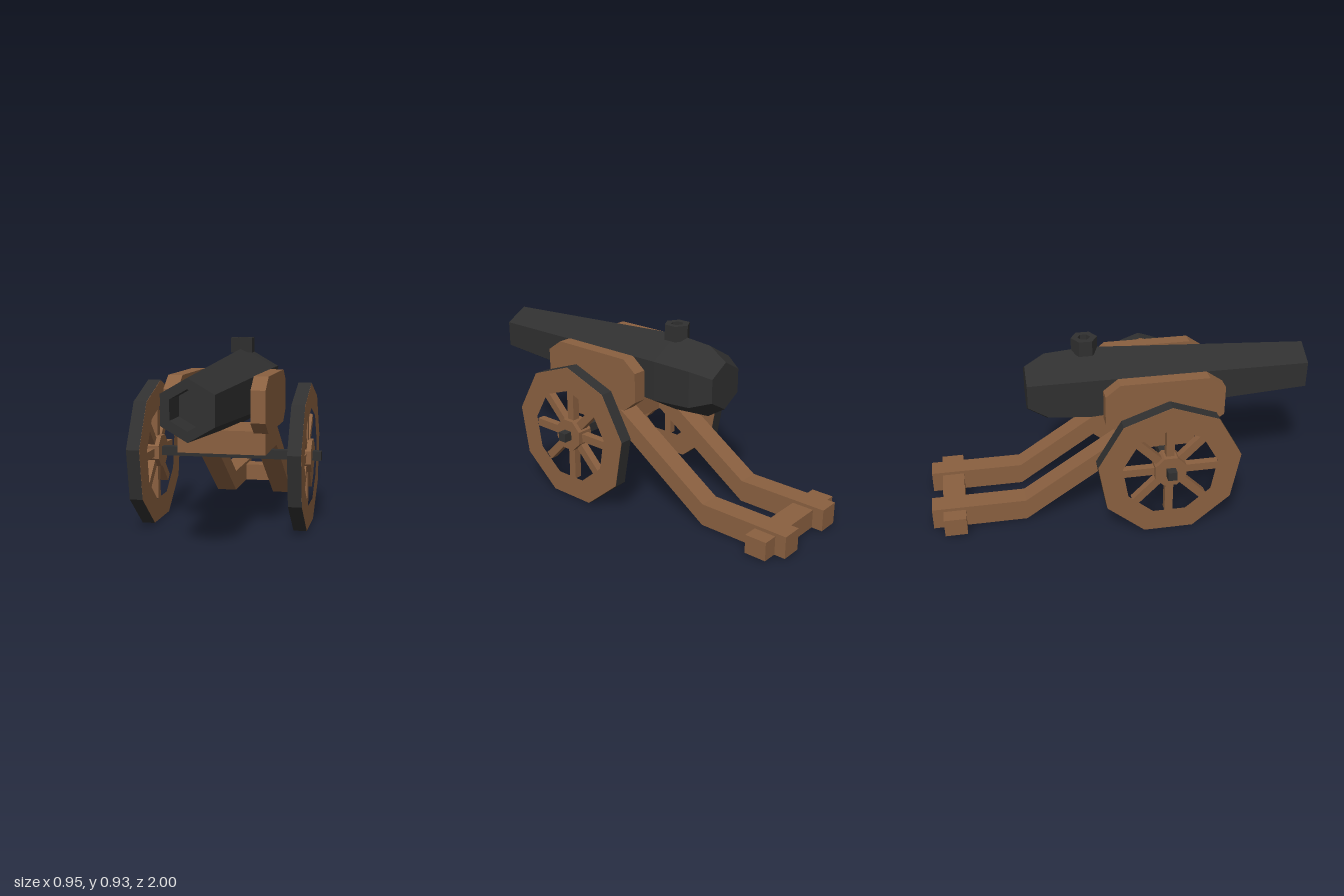
import * as THREE from 'three';

const wood = new THREE.MeshStandardMaterial({ color: 0x8a6040, flatShading: true });
const iron = new THREE.MeshStandardMaterial({ color: 0x303030, flatShading: true });

function add(parent, name, geometry, material, x = 0, y = 0, z = 0) {
  const mesh = new THREE.Mesh(geometry, material);
  mesh.name = name;
  mesh.position.set(x, y, z);
  parent.add(mesh);
  return mesh;
}

const toPoints = (list) => list.map(([a, b]) => new THREE.Vector2(a, b));

// Side profile given as [z, y], extruded along x and centred on x = 0
function sideSlab(outline, width, hole) {
  const shape = new THREE.Shape(toPoints(outline));
  if (hole) shape.holes.push(new THREE.Path(toPoints(hole)));
  return new THREE.ExtrudeGeometry(shape, { depth: width, bevelEnabled: false })
    .rotateY(-Math.PI / 2)
    .translate(width / 2, 0, 0);
}

// Regular polygon with a corner at the top, or turned by an offset
function polygon(sides, radius, offset = 0) {
  return Array.from({ length: sides }, (_, i) => {
    const a = (i / sides) * Math.PI * 2 + offset;
    return [Math.sin(a) * radius, Math.cos(a) * radius];
  });
}

function createWheel() {
  const wheel = new THREE.Group();
  const sides = 9, radius = 0.373, width = 0.066;

  // Wooden rim with an iron tyre around it
  add(wheel, 'rim', sideSlab(polygon(sides, radius - 0.002), width, polygon(sides, 0.247)), wood);
  const tyre = new THREE.CylinderGeometry(radius, radius, width, sides, 1, true, Math.PI / 2)
    .rotateZ(Math.PI / 2);
  add(wheel, 'tyre', tyre, iron);

  // Hub and spokes
  add(wheel, 'hub', sideSlab(polygon(8, 0.086, Math.PI / 8), 0.086), wood, 0, 0.007, 0);
  for (let i = 0; i < 8; i++) {
    const spoke = new THREE.BoxGeometry(0.04, 0.2, 0.042).translate(0, 0.15, 0);
    add(wheel, 'spoke', spoke, wood, 0, 0.005, 0).rotation.x = (i * Math.PI) / 4;
  }
  return wheel;
}

export function createModel() {
  const cannon = new THREE.Group();
  cannon.name = 'cannon';

  // Six-sided barrel with a hollow muzzle
  const barrel = new THREE.LatheGeometry(toPoints([
    [0, -0.47], [0.123, -0.47], [0.187, -0.37], [0.205, -0.16],
    [0.137, 1], [0.09, 1], [0.09, 0.85], [0, 0.85],
  ]), 6).rotateX(Math.PI / 2);
  add(cannon, 'barrel', barrel, iron, 0, 0.669, 0);

  // Vent on top of the breech
  const vent = new THREE.LatheGeometry(toPoints([
    [0.067, 0], [0.067, 0.08], [0.032, 0.08], [0.032, 0.04], [0, 0.04],
  ]), 6);
  add(cannon, 'vent', vent, iron, 0, 0.85, -0.163);

  // Carriage bed and axle
  add(cannon, 'bed', new THREE.BoxGeometry(0.444, 0.117, 0.325), wood, 0, 0.437, 0.2125);
  add(cannon, 'axle', new THREE.BoxGeometry(0.954, 0.046, 0.046), iron, 0, 0.358, 0.203);

  const cheekOutline = [
    [-0.095, 0.555], [-0.02, 0.495], [0.435, 0.495], [0.52, 0.555],
    [0.52, 0.71], [0.435, 0.77], [-0.02, 0.77], [-0.095, 0.71],
  ];
  const trailOutline = [
    [0.05, 0.495], [0.05, 0.379], [0.04, 0.379], [-0.515, 0.005],
    [-1, 0.005], [-1, 0.12], [-0.515, 0.12],
  ];

  // Mirrored cheeks, trails and wheels
  for (const side of [1, -1]) {
    const label = side > 0 ? 'left' : 'right';
    add(cannon, label + 'Cheek', sideSlab(cheekOutline, 0.072), wood, side * 0.211, 0, 0);
    add(cannon, label + 'Trail', sideSlab(trailOutline, 0.11), wood, side * 0.167, 0, 0);
    const wheel = createWheel();
    wheel.name = label + 'Wheel';
    wheel.position.set(side * 0.39, 0.3507, 0.203);
    cannon.add(wheel);
  }

  // Crossbar joining the trail ends
  add(cannon, 'rearCrossbar', new THREE.BoxGeometry(0.6, 0.097, 0.115), wood, 0, 0.0545, -0.885);

  return cannon;
}
